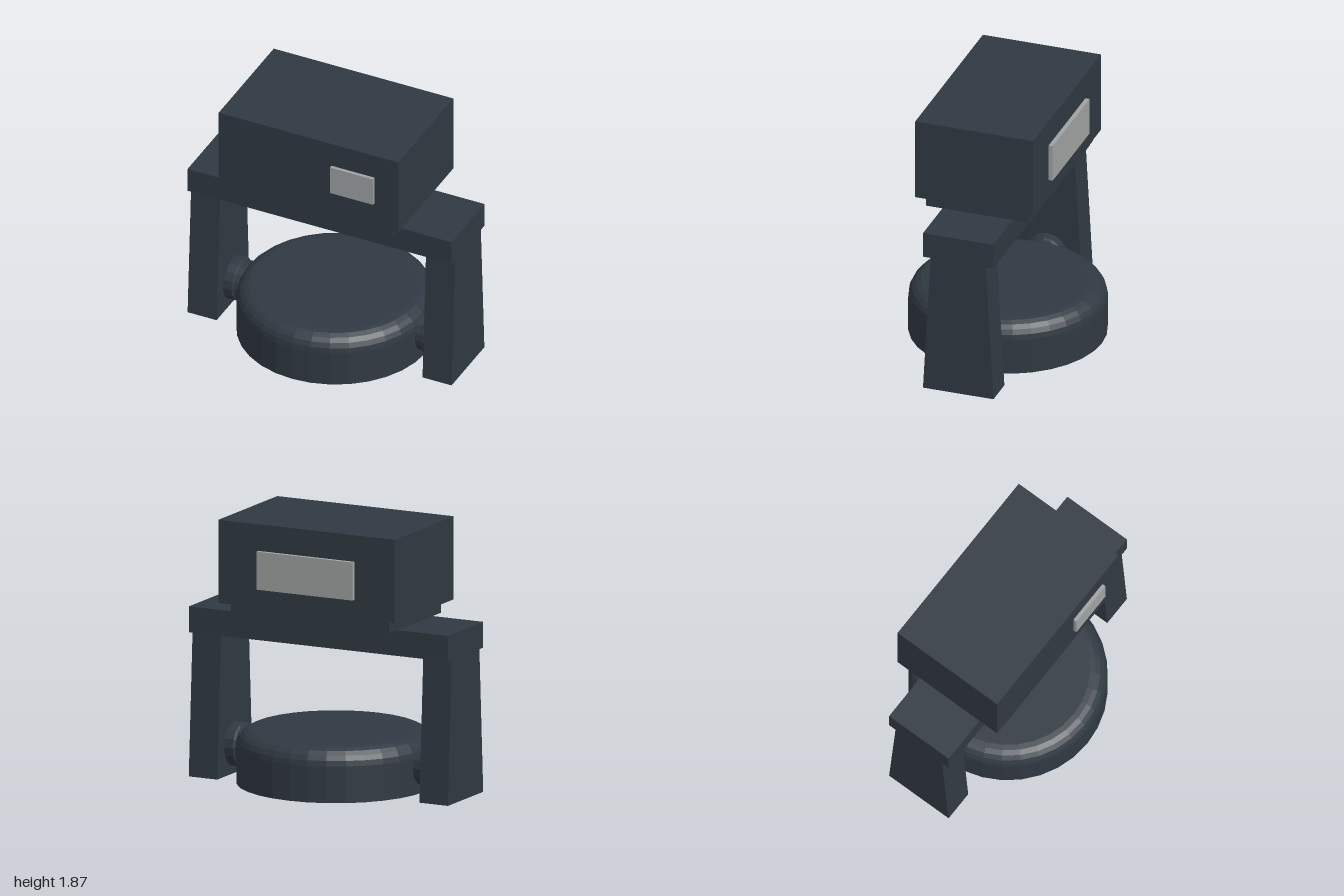
import * as THREE from 'three';

const dark = new THREE.MeshStandardMaterial({ color: 0x303942, flatShading: true });
const panel = new THREE.MeshStandardMaterial({ color: 0xa0a3a3 });
const lens = new THREE.MeshStandardMaterial({ color: 0xcccccc, flatShading: true });

export function createModel() {
  const model = new THREE.Group();

  const add = (name, geometry, material = dark) => {
    const mesh = new THREE.Mesh(geometry, material);
    mesh.name = name;
    model.add(mesh);
    return mesh;
  };
  // Box given by its lower and upper corner
  const box = (name, [x0, y0, z0], [x1, y1, z1], material) =>
    add(name, new THREE.BoxGeometry(x1 - x0, y1 - y0, z1 - z0), material)
      .position.set((x0 + x1) / 2, (y0 + y1) / 2, (z0 + z1) / 2);

  // Base housing, its plinth and the yoke's crossbar
  box('baseHousing', [-0.68, 1.29, -0.427], [0.68, 1.87, 0.427]);
  box('basePlinth', [-0.61, 1.2, -0.375], [0.61, 1.29, 0.375]);
  box('yokeCrossbar', [-1, 1.02, -0.255], [1, 1.2, 0.255]);

  // Display on the front, connector plate on the back
  box('frontDisplay', [0.175, 1.48, 0.42], [0.5, 1.69, 0.452], panel);
  box('backPlate', [-0.37, 1.42, -0.457], [0.37, 1.685, -0.42], panel);

  // Yoke arms widen towards the bottom; stepped pivots join them to the head
  const armShape = new THREE.Shape([[-0.255, 0.015], [0.255, 0.015], [0.2, 1.02], [-0.2, 1.02]]
    .map(([x, y]) => new THREE.Vector2(x, y)));
  const pivotProfile = [[0, 0], [0.14, 0], [0.14, 0.1], [0.155, 0.11], [0.155, 0.18], [0, 0.18]]
    .map(([r, y]) => new THREE.Vector2(r, y));
  for (const [side, s] of [['left', 1], ['right', -1]]) {
    const arm = add(side + 'YokeArm',
      new THREE.ExtrudeGeometry(armShape, { depth: 0.22, bevelEnabled: false }));
    arm.rotation.y = Math.PI / 2;
    arm.position.x = s > 0 ? 0.78 : -1;
    const pivot = add(side + 'Pivot', new THREE.LatheGeometry(pivotProfile, 16));
    pivot.rotation.z = -s * Math.PI / 2;
    pivot.position.set(s * 0.605, 0.22, 0);
  }

  // Round lamp head with a rounded top edge and a recess underneath
  const profile = [[0, 0.09], [0.6, 0.09], [0.6, 0.03], [0.68, 0.03]];
  for (let i = 0; i <= 5; i++) {
    const a = (i / 5) * Math.PI / 2;
    profile.push([0.56 + 0.12 * Math.cos(a), 0.285 + 0.12 * Math.sin(a)]);
  }
  profile.push([0, 0.405]);
  add('lampHead', new THREE.LatheGeometry(profile.map(([r, y]) => new THREE.Vector2(r, y)), 32));

  // Lenses in concentric rings
  const lenses = new THREE.Group();
  lenses.name = 'lenses';
  const ball = new THREE.SphereGeometry(0.068, 14, 10);
  for (let ring = 0; ring <= 3; ring++) {
    const count = Math.max(1, ring * 6);
    for (let i = 0; i < count; i++) {
      const a = (i / count) * Math.PI * 2;
      const mesh = new THREE.Mesh(ball, lens);
      mesh.name = 'lens';
      mesh.position.set(ring * 0.17 * Math.cos(a), 0.068, ring * 0.17 * Math.sin(a));
      lenses.add(mesh);
    }
  }
  model.add(lenses);

  return model;
}
